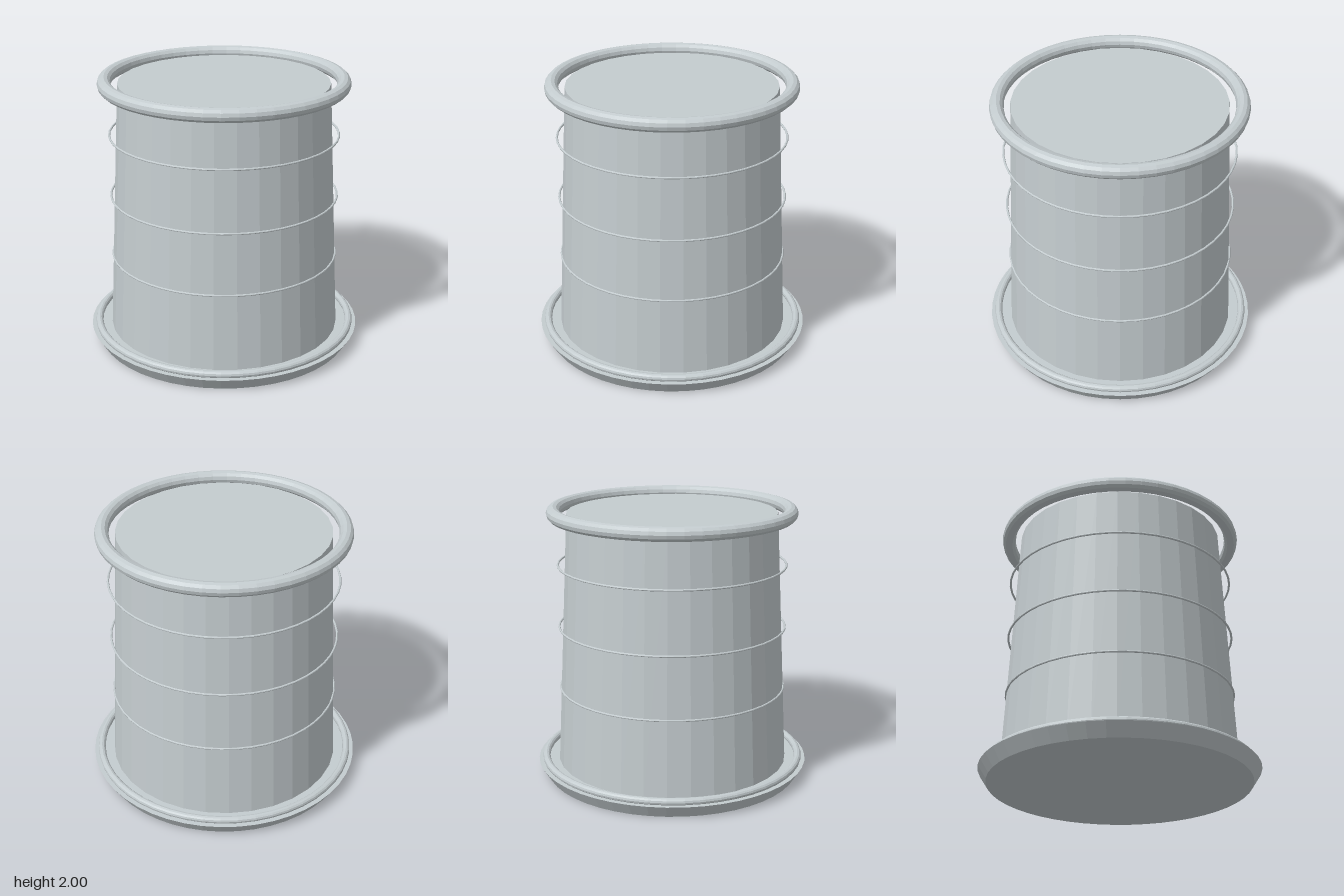
import * as THREE from 'three';

export function createModel() {
  const group = new THREE.Group();
  const steel = new THREE.MeshStandardMaterial({ color: 0xc4cccf, flatShading: true });
  steel.name = 'pale steel';

  const add = (name, geometry, y) => {
    const mesh = new THREE.Mesh(geometry, steel);
    mesh.name = name;
    mesh.position.y = y;
    group.add(mesh);
  };
  // Horizontal ring lying around the vertical axis
  const ring = (name, radius, tube, y, sides) =>
    add(name, new THREE.TorusGeometry(radius, tube, sides, 48).rotateX(Math.PI / 2), y);

  // Flared foot plate, wider at its upper edge
  add('base', new THREE.CylinderGeometry(1, 0.94, 0.095, 48), 0.0475);
  ring('baseRing', 0.945, 0.027, 0.114, 12);

  // Tapered drum body with closed top
  add('body', new THREE.CylinderGeometry(0.757, 0.85, 1.86, 32), 1.015);

  // Thin wire hoops of equal radius, standing off the narrower upper body
  [0.655, 1.112, 1.568].forEach((y, i) => ring('hoop' + (i + 1), 0.825, 0.008, y, 8));

  // Thick rim floating around the top
  ring('topRim', 0.85, 0.05, 1.947, 12);

  return group;
}
